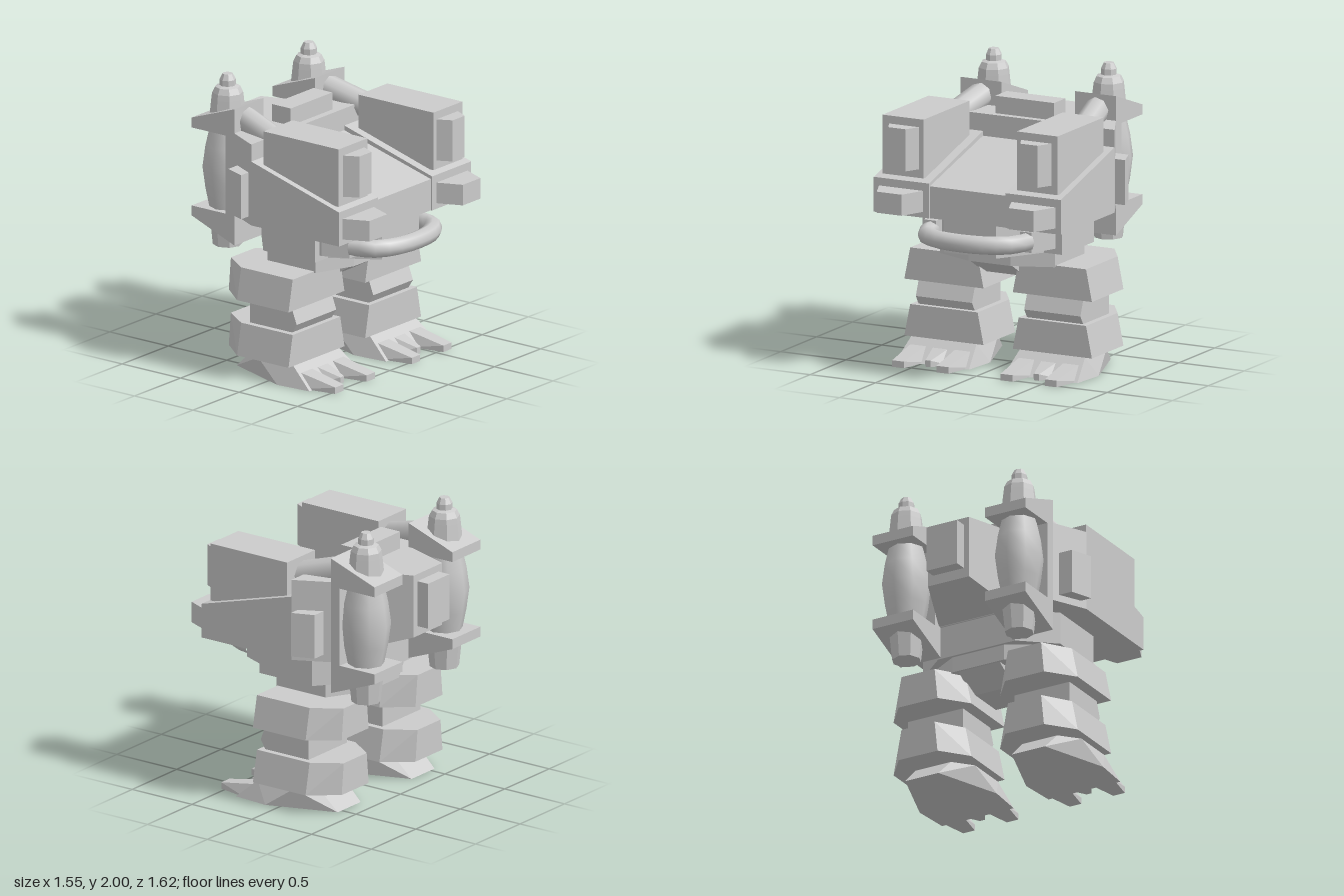
import * as THREE from 'three';
import { ConvexGeometry } from 'three/addons/geometries/ConvexGeometry.js';

const flat = new THREE.MeshStandardMaterial({ color: 0xcccccc, flatShading: true });
const smooth = new THREE.MeshStandardMaterial({ color: 0xcccccc });

export function createModel() {
  const model = new THREE.Group();
  model.name = 'walkerRobot';

  const add = (name, geometry, material = flat) => {
    const mesh = new THREE.Mesh(geometry, material);
    mesh.name = name;
    model.add(mesh);
    return mesh;
  };
  const mirror = (half) => [...half, ...half.map(([x, z]) => [-x, z])];

  // Convex slab between a bottom and a top outline, both lists of [x, z]
  const slab = (name, y0, y1, bottom, top = bottom) => add(name, new ConvexGeometry([
    ...bottom.map(([x, z]) => new THREE.Vector3(x, y0, z)),
    ...top.map(([x, z]) => new THREE.Vector3(x, y1, z)),
  ]));

  // Box given by its limits
  const box = (name, x0, x1, y0, y1, z0, z1) => {
    const g = new THREE.BoxGeometry(Math.abs(x1 - x0), y1 - y0, z1 - z0);
    return add(name, g.translate((x0 + x1) / 2, (y0 + y1) / 2, (z0 + z1) / 2));
  };

  // Side profile of [z, y] points extruded across x
  const across = (name, profile, x, width) => {
    const shape = new THREE.Shape(profile.map(([z, y]) => new THREE.Vector2(z, y)));
    const g = new THREE.ExtrudeGeometry(shape, { depth: width, bevelEnabled: false });
    return add(name, g.rotateY(-Math.PI / 2).translate(x + width / 2, 0, 0));
  };

  // Straight eight-sided pipe between two points
  const pipe = (name, a, b, r) => {
    const d = b.clone().sub(a);
    const mesh = add(name, new THREE.CylinderGeometry(r, r, d.length(), 8), smooth);
    mesh.position.copy(a).add(b).multiplyScalar(0.5);
    mesh.quaternion.setFromUnitVectors(new THREE.Vector3(0, 1, 0), d.normalize());
  };

  // Central hull
  across('centreHull', [[0.62, 1.08], [0.62, 1.3], [-0.13, 1.5], [-0.13, 1.08]], 0, 0.59);
  slab('rearHull', 1.08, 1.65, mirror([[0.716, -0.12], [0.59, -0.37]]));
  add('tailHull', new ConvexGeometry([1, -1].flatMap((s) => [
    new THREE.Vector3(s * 0.29, 1.65, -0.36), new THREE.Vector3(s * 0.16, 1.65, -0.73),
    new THREE.Vector3(s * 0.16, 1.21, -0.73), new THREE.Vector3(s * 0.29, 1.08, -0.36),
  ])));
  box('roofBox', -0.225, 0.225, 1.6, 1.77, -0.33, -0.17);
  box('tailBox', -0.12, 0.12, 1.28, 1.6, -0.82, -0.7);

  // Underside and hips
  slab('lowerHull', 0.85, 1.09, mirror([[0.535, 0.28], [0.535, -0.16], [0.3, -0.36]]));
  slab('lowerNose', 0.85, 1.09, mirror([[0.2, 0.59], [0.4, 0.27]]));
  slab('pelvis', 0.74, 0.86, mirror([[0.16, 0.32], [0.44, 0.21], [0.44, -0.2], [0.2, -0.34]]));
  across('crotch', [[0.32, 0.75], [0.12, 0.63], [-0.15, 0.63], [-0.34, 0.75]], 0, 0.32);

  // Curved front bumper
  const bumper = new THREE.CatmullRomCurve3([
    [-0.37, 0.46], [-0.33, 0.6], [-0.2, 0.69], [0, 0.72], [0.2, 0.69], [0.33, 0.6], [0.37, 0.46],
  ].map(([x, z]) => new THREE.Vector3(x, 0.96, z)));
  add('frontBumper', new THREE.TubeGeometry(bumper, 12, 0.063, 8), smooth);

  for (const s of [1, -1]) {
    const side = s > 0 ? 'left' : 'right';
    const flip = (plan) => plan.map(([x, z]) => [s * x, z]);

    // Shoulder pod, lamp, launcher and side panel
    across(side + 'Pod', [[0.63, 1.08], [0.63, 1.32], [-0.12, 1.53], [-0.12, 1.08]], s * 0.504, 0.424);
    slab(side + 'Lamp', 1.12, 1.265, flip([[0.68, 0.62], [0.6, 0.8], [0.41, 0.8], [0.335, 0.62]]));
    box(side + 'Launcher', s * 0.357, s * 0.67, 1.34, 1.745, -0.05, 0.59);
    slab(side + 'LauncherHatch', 1.4, 1.69, flip([[0.385, 0.58], [0.44, 0.69], [0.57, 0.69], [0.627, 0.58]]));
    slab(side + 'SidePanel', 1.13, 1.44, flip([[0.775, -0.16], [0.716, -0.315], [0.59, -0.315], [0.64, -0.16]]));
    slab(side + 'BumperMount', 0.89, 1.03, flip([[0.485, 0.3], [0.41, 0.48], [0.32, 0.48], [0.32, 0.26], [0.485, 0.26]]));

    // Rear canister in its bracket
    across(side + 'CanisterBracket', [[-0.36, 1.82], [-0.725, 1.69], [-0.725, 1.62], [-0.435, 1.62],
      [-0.435, 1.07], [-0.725, 1.07], [-0.725, 1.0], [-0.36, 0.86]], s * 0.438, 0.315);
    const lathe = (name, points, material) => add(side + name, new THREE.LatheGeometry(
      points.map(([r, y]) => new THREE.Vector2(r, y)), 8).translate(s * 0.44, 0, -0.54), material);
    lathe('CanisterBase', [[0, 0.8], [0.1, 0.8], [0.125, 1.04]], flat);
    lathe('CanisterBody', [[0.12, 1.05], [0.15, 1.2], [0.17, 1.35], [0.15, 1.5], [0.12, 1.63]], smooth);
    lathe('CanisterTop', [[0.13, 1.64], [0.11, 1.83], [0.105, 1.87], [0.085, 1.91], [0.055, 1.92],
      [0.055, 1.96], [0.035, 2], [0, 2]], flat);
    pipe(side + 'FeedPipe', new THREE.Vector3(s * 0.503, 1.61, -0.02),
      new THREE.Vector3(s * 0.44, 1.72, -0.41), 0.088);

    // Leg: two flared armour blocks with a knee between
    const cx = s * 0.415;
    const outline = (w, points) => points.flatMap(([k, z]) => [[cx + w * k, z], [cx - w * k, z]]);
    const block = [[1, 0.2], [1, -0.24], [0.5, -0.43]];
    slab(side + 'UpperLeg', 0.53, 0.75, outline(0.303, block), outline(0.258, block));
    slab(side + 'LowerLeg', 0.14, 0.36, outline(0.303, block), outline(0.258, block));
    across(side + 'Knee', [[0.155, 0.54], [0.2, 0.42], [0.155, 0.35], [-0.2, 0.35], [-0.2, 0.54]], cx, 0.43);

    // Foot with two long toes and a short middle one
    slab(side + 'Foot', 0, 0.14, outline(0.3, [[0.93, 0.36], [1, 0.1], [0.43, -0.38]]),
      outline(0.25, [[1, 0.2], [1, -0.1], [0.55, -0.23]]));
    for (const [i, dx, tip, w] of [[1, -0.17, 0.53, 0.045], [2, 0, 0.42, 0.02], [3, 0.17, 0.53, 0.045]]) {
      add(side + 'Toe' + i, new ConvexGeometry([-1, 1].flatMap((k) => [
        new THREE.Vector3(cx + dx + k * w, 0, tip), new THREE.Vector3(cx + dx + k * w, 0.045, tip),
        new THREE.Vector3(cx + dx + k * 0.09, 0, 0.3), new THREE.Vector3(cx + dx + k * 0.06, 0.1, 0.23),
      ])));
    }
  }
  return model;
}
